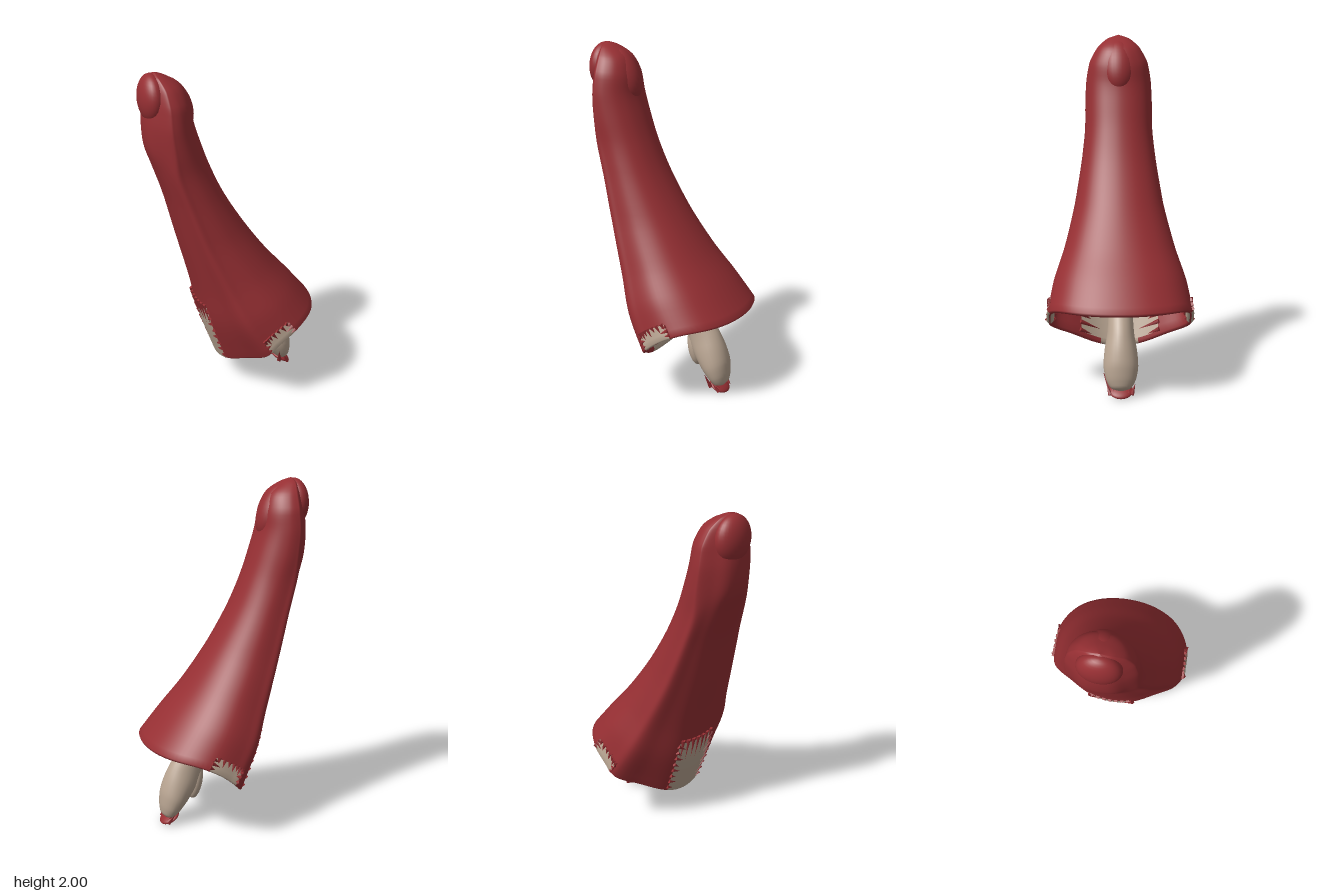
import * as THREE from 'three';

const RED = new THREE.MeshStandardMaterial({ color: 0x962f33, side: THREE.DoubleSide });
const SKIN = new THREE.MeshStandardMaterial({ color: 0xb9a592, side: THREE.DoubleSide });
const V = (x, y, z = 0) => new THREE.Vector3(x, y, z);
const curve = (pts) => new THREE.CatmullRomCurve3(pts);

// Sleeve sections from rim to tip:
// left x,y, right x,y, half width, half width of the keel, upward bow, place of the corner
const SECTIONS = [
  [-0.07, 0.175, 0.502, 0.52, 0.42, 0.12, 0.1, 0.28],
  [-0.16, 0.44, 0.38, 0.67, 0.385, 0.13, 0.06, 0.25],
  [-0.215, 0.68, 0.245, 0.83, 0.325, 0.12, 0.03, 0.23],
  [-0.3, 1.0, 0.09, 1.05, 0.26, 0.1, 0, 0.21],
  [-0.37, 1.27, -0.04, 1.27, 0.218, 0.09, 0, 0.2],
  [-0.43, 1.45, -0.12, 1.45, 0.2, 0.08, 0, 0.23],
  [-0.473, 1.58, -0.17, 1.59, 0.2, 0.07, 0, 0.33],
  [-0.485, 1.72, -0.21, 1.72, 0.194, 0.06, 0, 0.36],
  [-0.475, 1.84, -0.228, 1.83, 0.174, 0.05, 0, 0.36],
  [-0.46, 1.93, -0.27, 1.92, 0.125, 0.04, 0, 0.36],
  [-0.438, 1.98, -0.35, 1.975, 0.065, 0.02, 0, 0.36],
  [-0.41, 2.0, -0.409, 2.0, 0.001, 0.0005, 0, 0.36],
];
const LAST = SECTIONS.length - 1;
const leftLine = curve(SECTIONS.map((s) => V(s[0], s[1])));
const rightLine = curve(SECTIONS.map((s) => V(s[2], s[3])));
const shapeLine = curve(SECTIONS.map((s) => V(s[4], s[5], s[6])));
const cornerLine = curve(SECTIONS.map((s, i) => V(s[7], i)));
const TURN = 16; // outline points in one full turn

// One sleeve ring: t is the section index, scale shrinks or grows it, drop moves it down
function ring(t, scale = 1, drop = 0) {
  const L = leftLine.getPoint(t / LAST), R = rightLine.getPoint(t / LAST);
  const { x: w, y: f, z: bow } = shapeLine.getPoint(t / LAST);
  const c = cornerLine.getPoint(t / LAST).x;
  const half = [[0, 0], [0.03, f], [0.015 + c / 2, (f + w) * 0.52], [c, w * 0.98], [0.25 + c / 2, w],
    [0.62, w * 0.95], [0.85, w * 0.7], [0.965, w * 0.37], [1, 0]];
  const back = half.slice(1, -1).reverse().map(([u, v]) => [u, -v]);
  const outline = new THREE.CatmullRomCurve3([...half, ...back].map(([u, v]) => V(u, v)), true);
  const mid = L.clone().add(R).multiplyScalar(0.5);
  return (a) => {
    const p = outline.getPoint(((a / TURN) % 1 + 1) % 1);
    const q = L.clone().lerp(R, p.x).sub(mid).multiplyScalar(scale).add(mid);
    q.y += bow * Math.sin(Math.PI * THREE.MathUtils.clamp(p.x, 0, 1)) - drop;
    q.z = p.y * scale;
    return q;
  };
}

// Skin a list of ring functions between two positions around the ring
function loft(name, material, rings, a0, a1, n, closed) {
  const pos = [], index = [], cols = closed ? n : n + 1;
  rings.forEach((r) => {
    for (let j = 0; j < cols; j++) pos.push(...r(a0 + ((a1 - a0) * j) / n).toArray());
  });
  for (let i = 0; i < rings.length - 1; i++) {
    for (let j = 0; j < n; j++) {
      const k = (j + 1) % cols, a = i * cols + j, b = i * cols + k;
      index.push(a, b, a + cols, b, b + cols, a + cols);
    }
  }
  const g = new THREE.BufferGeometry();
  g.setAttribute('position', new THREE.Float32BufferAttribute(pos, 3));
  g.setIndex(index);
  g.computeVertexNormals();
  const m = new THREE.Mesh(g, material);
  m.name = name;
  return m;
}

// Rings running down the inside, around the rim and up the outside
function wallRings(inTop, outTop, inner, outer, step) {
  const rows = [];
  const nIn = Math.ceil(inTop / step), nOut = Math.ceil(outTop / step);
  for (let i = nIn; i >= 0; i--) rows.push(ring((inTop * i) / nIn, inner));
  rows.push(ring(0, inner * 0.65 + outer * 0.35, 0.013), ring(0, inner * 0.25 + outer * 0.75, 0.011));
  for (let i = 0; i <= nOut; i++) rows.push(ring((outTop * i) / nOut, outer));
  return rows;
}

function ellipsoid(name, material, [x, y, z], [rx, ry, rz], tilt = 0) {
  const m = new THREE.Mesh(new THREE.SphereGeometry(1, 32, 20), material);
  m.name = name;
  m.position.set(x, y, z);
  m.scale.set(rx, ry, rz);
  m.rotation.z = tilt;
  return m;
}

// Small ragged point running from one place to another
function shred(from, to, width) {
  const d = to.clone().sub(from);
  const m = new THREE.Mesh(new THREE.ConeGeometry(width, d.length(), 4), RED);
  m.name = 'shred';
  m.position.copy(from).addScaledVector(d, 0.5);
  m.quaternion.setFromUnitVectors(V(0, 1, 0), d.normalize());
  return m;
}

// Torn patch over the rim, edged with shreds; spread widens it on the inner face
function tornPatch(name, a0, a1, top, spread) {
  const g = new THREE.Group();
  g.name = name;
  g.add(loft('lining', SKIN, wallRings(top, top, 0.915, 1.01, 0.15), a0, a1, 14, false));
  const innerRings = [1, 0.75, 0.5, 0.25, 0.04].map((k) => ring(top * k, 0.913));
  g.add(loft('innerLining', SKIN, innerRings, a0 - spread, a1 + spread, 20, false));
  for (const [s, extra] of [[1.008, 0], [0.911, spread]]) {
    const at = (t, a) => ring(t, s)(a);
    const b0 = a0 - extra, b1 = a1 + extra, span = b1 - b0;
    const across = 7, up = Math.max(3, Math.round(top * 5));
    for (let i = 0; i < across; i++) {
      const a = b0 + (span * (i + 0.5)) / across;
      g.add(shred(at(top * 1.06, a), at(top * (i % 2 ? 0.45 : 0.62), a + 0.06), 0.014));
    }
    for (let i = 0; i < up; i++) {
      const t = (top * (i + 0.5)) / up, reach = 0.12 + 0.1 * (i % 2);
      g.add(shred(at(t, b0 - 0.04), at(t * 0.9, b0 + reach * span), 0.014));
      g.add(shred(at(t, b1 + 0.04), at(t * 0.9, b1 - reach * span), 0.014));
    }
  }
  return g;
}

// Tapered limb from rows of centre x, y, half depth, half width in z
function limb(name, material, rows) {
  const path = curve(rows.map((r) => V(r[0], r[1])));
  const size = curve(rows.map((r) => V(r[2], r[3])));
  const rings = [];
  for (let i = 32; i >= 0; i--) {
    const c = path.getPoint(i / 32), s = size.getPoint(i / 32);
    rings.push((a) => V(c.x - Math.cos(a) * s.x * 0.92, c.y - Math.cos(a) * s.x * 0.4, Math.sin(a) * s.y));
  }
  return loft(name, material, rings, 0, Math.PI * 2, 28, true);
}

function makeHand() {
  const hand = new THREE.Group();
  hand.name = 'hand';
  hand.add(limb('palm', SKIN, [
    [0.165, 0.52, 0.002, 0.002], [0.175, 0.505, 0.06, 0.06], [0.2, 0.43, 0.078, 0.07],
    [0.248, 0.33, 0.1, 0.078], [0.288, 0.25, 0.1, 0.092], [0.328, 0.17, 0.086, 0.098],
    [0.357, 0.1, 0.062, 0.084], [0.372, 0.055, 0.04, 0.057], [0.378, 0.035, 0.002, 0.002],
  ]));
  // Wrist joining the hand to the closed end of the sleeve
  hand.add(limb('wrist', RED, [
    [0.1, 0.63, 0.08, 0.085], [0.13, 0.57, 0.07, 0.075], [0.16, 0.52, 0.064, 0.064], [0.175, 0.49, 0.05, 0.05],
  ]));
  hand.add(ellipsoid('thumb', SKIN, [0.194, 0.255, 0], [0.044, 0.125, 0.062], 0.16));
  // Red fingertip edge and shreds at both ends
  hand.add(ellipsoid('fingertip', RED, [0.358, 0.036, 0], [0.062, 0.02, 0.068], -0.5));
  for (let i = -3; i <= 3; i++) {
    const z = i * 0.02, odd = Math.abs(i % 2);
    hand.add(shred(V(0.385, 0.02, z), V(0.345 + 0.008 * odd, 0.075, z * 1.35), 0.013));
    hand.add(shred(V(0.225, 0.54, z), V(0.262, odd ? 0.45 : 0.47, z * 1.1), 0.013));
    hand.add(shred(V(0.11, 0.48, z), V(0.135, odd ? 0.4 : 0.42, z * 1.1), 0.013));
  }
  hand.add(shred(V(0.33, 0.04, 0.06), V(0.31, 0.13, 0.1), 0.016));
  return hand;
}

export function createModel() {
  const model = new THREE.Group();
  model.name = 'sleevedArm';
  // Hollow sleeve with a domed inner end
  const dome = [ring(1.2, 0.001), ring(1.18, 0.4), ring(1.1, 0.75)];
  model.add(loft('sleeve', RED, [...dome, ...wallRings(0.95, LAST, 0.93, 1, 0.2)], 0, TURN, 96, true));
  // Rounded pads at the shoulder
  model.add(ellipsoid('innerShoulderPad', RED, [-0.313, 1.81, 0], [0.1, 0.168, 0.106], 0.42));
  model.add(ellipsoid('outerShoulderPad', RED, [-0.432, 1.86, 0], [0.073, 0.135, 0.12]));
  // Torn places on both sides and on the flat face
  model.add(tornPatch('leftTear', 3.4, 4.85, 0.4, 0));
  model.add(tornPatch('rightTear', TURN - 4.85, TURN - 3.4, 0.4, 0));
  model.add(tornPatch('flatFaceTear', -1, 1, 1.5, 0.8));
  model.add(makeHand());
  return model;
}
